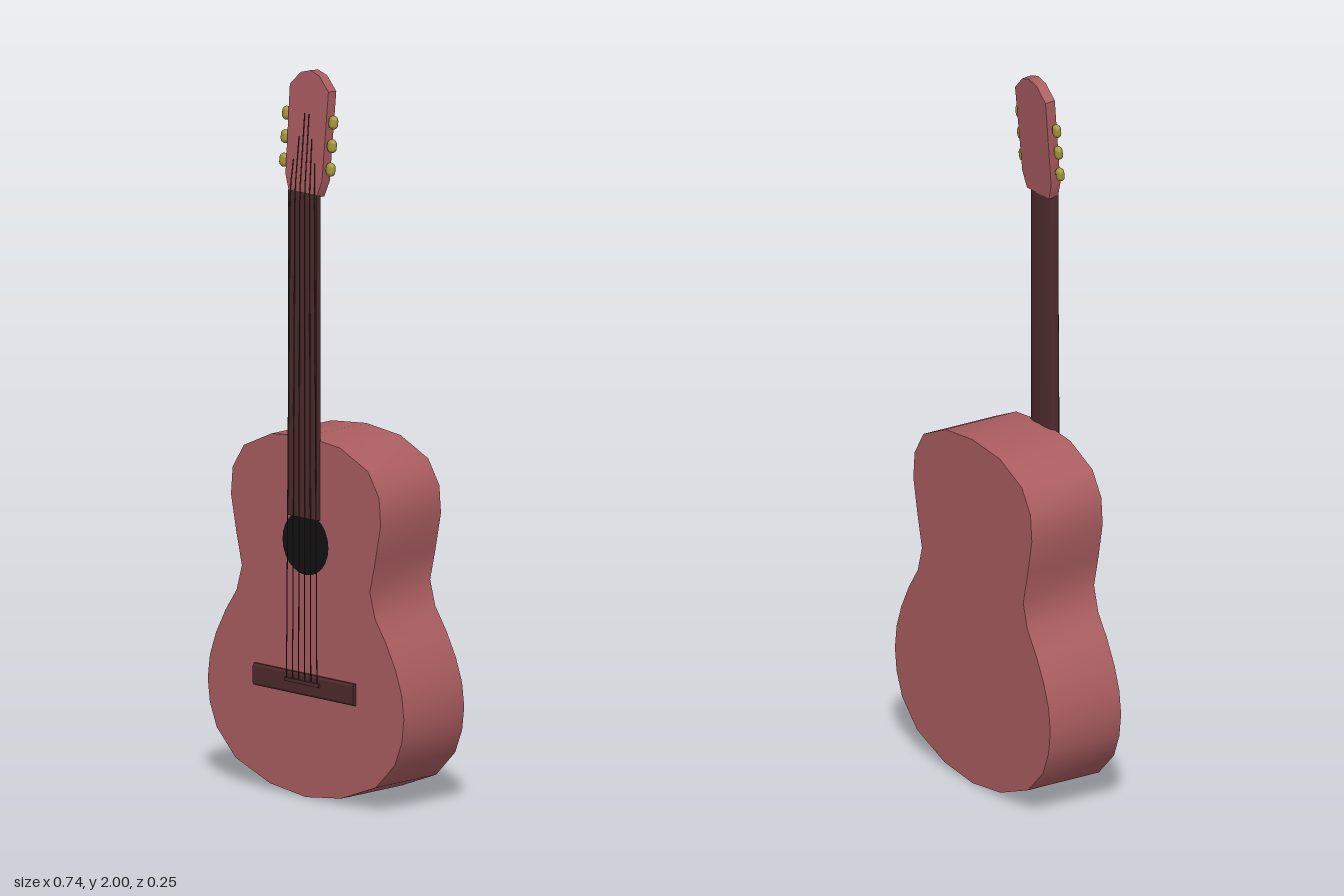
import * as THREE from 'three';
import { toCreasedNormals } from 'three/addons/utils/BufferGeometryUtils.js';

const mat = (color) => new THREE.MeshStandardMaterial({ color });
const wood = mat(0xab5d60), darkWood = mat(0x4e2b2c), black = mat(0x111212);
const brass = mat(0xa59638), wire = mat(0x3a2c2c);

// Mirror a right-half outline (bottom to top) into a closed shape
function mirroredShape(half) {
  const left = half.filter(([x]) => x > 0).reverse().map(([x, y]) => [-x, y]);
  return new THREE.Shape([...half, ...left].map(([x, y]) => new THREE.Vector2(x, y)));
}

// Extruded plate with smooth sides and sharp rims
function plate(shape, depth) {
  const geo = new THREE.ExtrudeGeometry(shape, { depth, bevelEnabled: false });
  return toCreasedNormals(geo, 0.65);
}

function add(parent, name, geo, material, x = 0, y = 0, z = 0) {
  const mesh = new THREE.Mesh(geo, material);
  mesh.name = name;
  mesh.position.set(x, y, z);
  parent.add(mesh);
  return mesh;
}

export function createModel() {
  const guitar = new THREE.Group();
  guitar.name = 'guitar';

  // Hollow-waisted body
  const body = mirroredShape([
    [0, 0], [0.135, 0.017], [0.265, 0.067], [0.337, 0.14], [0.363, 0.205], [0.371, 0.27],
    [0.363, 0.335], [0.34, 0.4], [0.304, 0.468], [0.262, 0.53], [0.242, 0.6], [0.263, 0.69],
    [0.283, 0.79], [0.277, 0.865], [0.235, 0.932], [0.13, 0.98], [0, 0.993],
  ]);
  add(guitar, 'body', plate(body, 0.23), wood, 0, 0, -0.125);
  add(guitar, 'soundHole', new THREE.CircleGeometry(0.087, 24), black, 0, 0.698, 0.1065);

  // Bridge with chamfered front edge, and its saddle
  const bridge = new THREE.Shape([[0.105, -0.03], [0.112, -0.03], [0.116, -0.024],
    [0.116, 0.024], [0.112, 0.03], [0.105, 0.03]].map(([z, y]) => new THREE.Vector2(-z, y)));
  const bridgeGeo = new THREE.ExtrudeGeometry(bridge, { depth: 0.38, bevelEnabled: false });
  bridgeGeo.translate(0, 0, -0.19).rotateY(Math.PI / 2);
  add(guitar, 'bridge', bridgeGeo, darkWood, 0, 0.311, 0);
  add(guitar, 'saddle', new THREE.BoxGeometry(0.13, 0.01, 0.008), darkWood, 0, 0.318, 0.118);

  // Fretboard runs over the body; the rounded neck starts at the body's top
  add(guitar, 'fretboard', new THREE.BoxGeometry(0.108, 0.895, 0.014), darkWood, 0, 1.2175, 0.111);
  const neckShape = new THREE.Shape();
  neckShape.moveTo(0.054, -0.105);
  neckShape.bezierCurveTo(0.05, -0.083, -0.05, -0.083, -0.054, -0.105);
  const neck = plate(neckShape, 0.685);
  neck.rotateX(-Math.PI / 2);
  add(guitar, 'neck', neck, darkWood, 0, 0.98, 0);

  // Headstock leans back from the nut; its front face is local z = 0
  const head = new THREE.Group();
  head.name = 'headstock';
  head.position.set(0, 1.66, 0.117);
  head.rotation.x = -0.085;
  guitar.add(head);
  const headShape = mirroredShape([[0.052, 0], [0.069, 0.045], [0.073, 0.29], [0.035, 0.328], [0, 0.338]]);
  add(head, 'headPlate', plate(headShape, 0.03), wood, 0, 0, -0.03);

  // Tuning pegs: three per side
  for (const side of [-1, 1]) {
    for (let i = 0; i < 3; i++) {
      const y = 0.08 + i * 0.064;
      const shaft = add(head, 'pegShaft', new THREE.CylinderGeometry(0.004, 0.004, 0.03, 8), brass, side * 0.073, y, -0.011);
      shaft.rotation.z = Math.PI / 2;
      const knob = new THREE.CapsuleGeometry(0.013, 0.012, 4, 10);
      knob.scale(1.1, 1, 0.85);
      add(head, 'pegKnob', knob, brass, side * 0.088, y, -0.011);
    }
  }

  // Six strings from the bridge over the nut to their posts
  head.updateMatrix();
  for (let i = 0; i < 6; i++) {
    const t = i - 2.5;
    const postY = [0.09, 0.155, 0.22, 0.22, 0.155, 0.09][i];
    const post = new THREE.Vector3(t * 0.016, postY, 0.003).applyMatrix4(head.matrix);
    const path = new THREE.CurvePath();
    const low = new THREE.Vector3(t * 0.023, 0.318, 0.121);
    const nut = new THREE.Vector3(t * 0.0185, 1.662, 0.1195);
    path.add(new THREE.LineCurve3(low, nut));
    path.add(new THREE.LineCurve3(nut, post));
    add(guitar, 'string', new THREE.TubeGeometry(path, 24, 0.0015, 5), wire);
  }
  return guitar;
}
